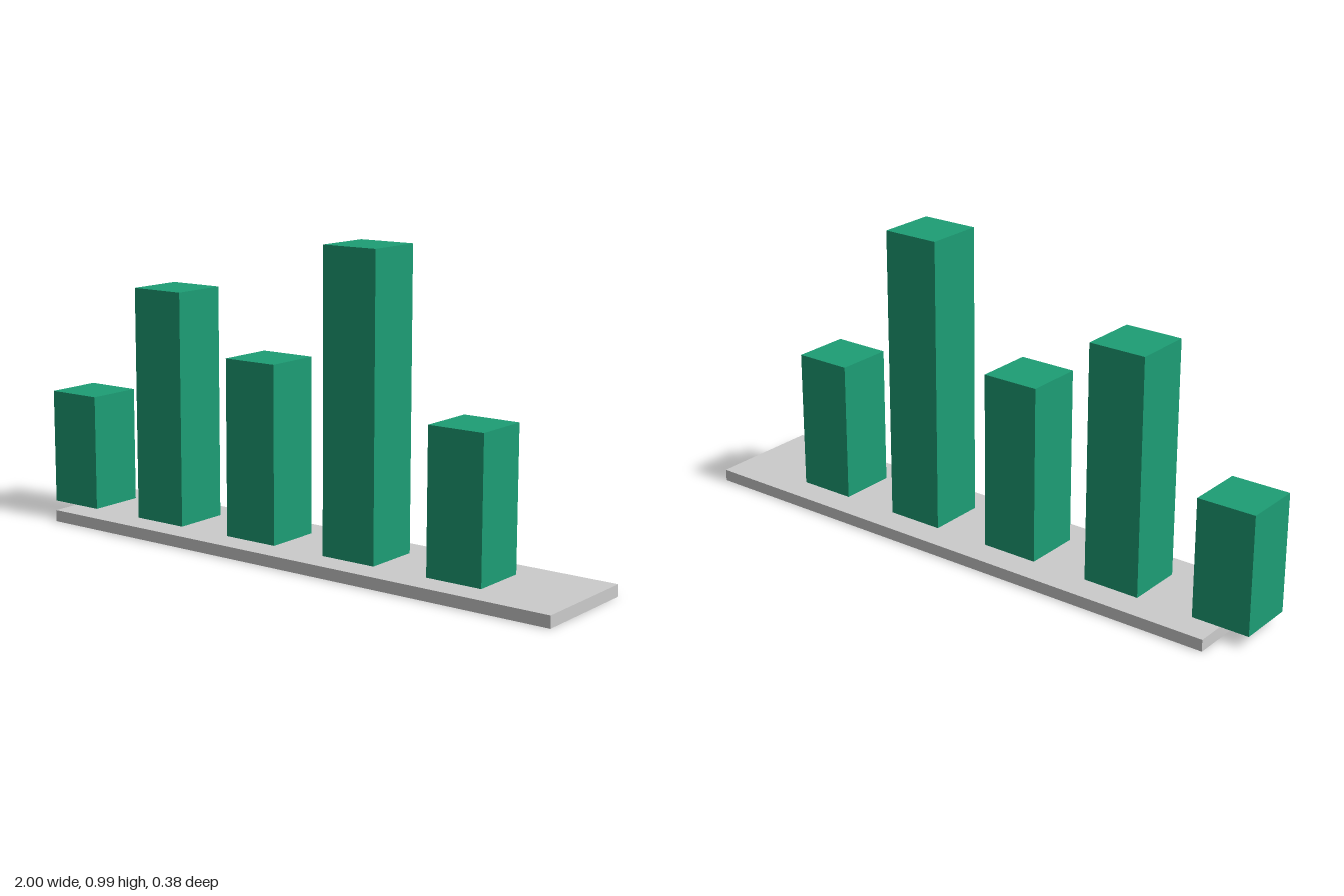
import * as THREE from 'three';

// One grid unit; every dimension is a multiple of it
const U = 2 / 10.5;

function box(name, material, w, h, d, x, y) {
  const mesh = new THREE.Mesh(new THREE.BoxGeometry(w, h, d), material);
  mesh.name = name;
  mesh.position.set(x, y + h / 2, 0); // y is the bottom of the box
  return mesh;
}

export function createModel() {
  const model = new THREE.Group();
  model.name = 'barChart';
  const grey = new THREE.MeshStandardMaterial({ color: 0xcccccc });
  const green = new THREE.MeshStandardMaterial({ color: 0x1d9e75 });

  // Base plate, reaching the +x end
  const baseHeight = 0.2 * U;
  model.add(box('base', grey, 10 * U, baseHeight, 2 * U, 1 - 5 * U, 0));

  // Bars, the first one overhanging the base at the -x end
  const bars = new THREE.Group();
  bars.name = 'bars';
  [2, 4, 3, 5, 2.4].forEach((height, i) => {
    const x = -1 + (0.5 + 2 * i) * U;
    bars.add(box(`bar${i + 1}`, green, U, height * U, U, x, baseHeight));
  });
  model.add(bars);

  return model;
}
